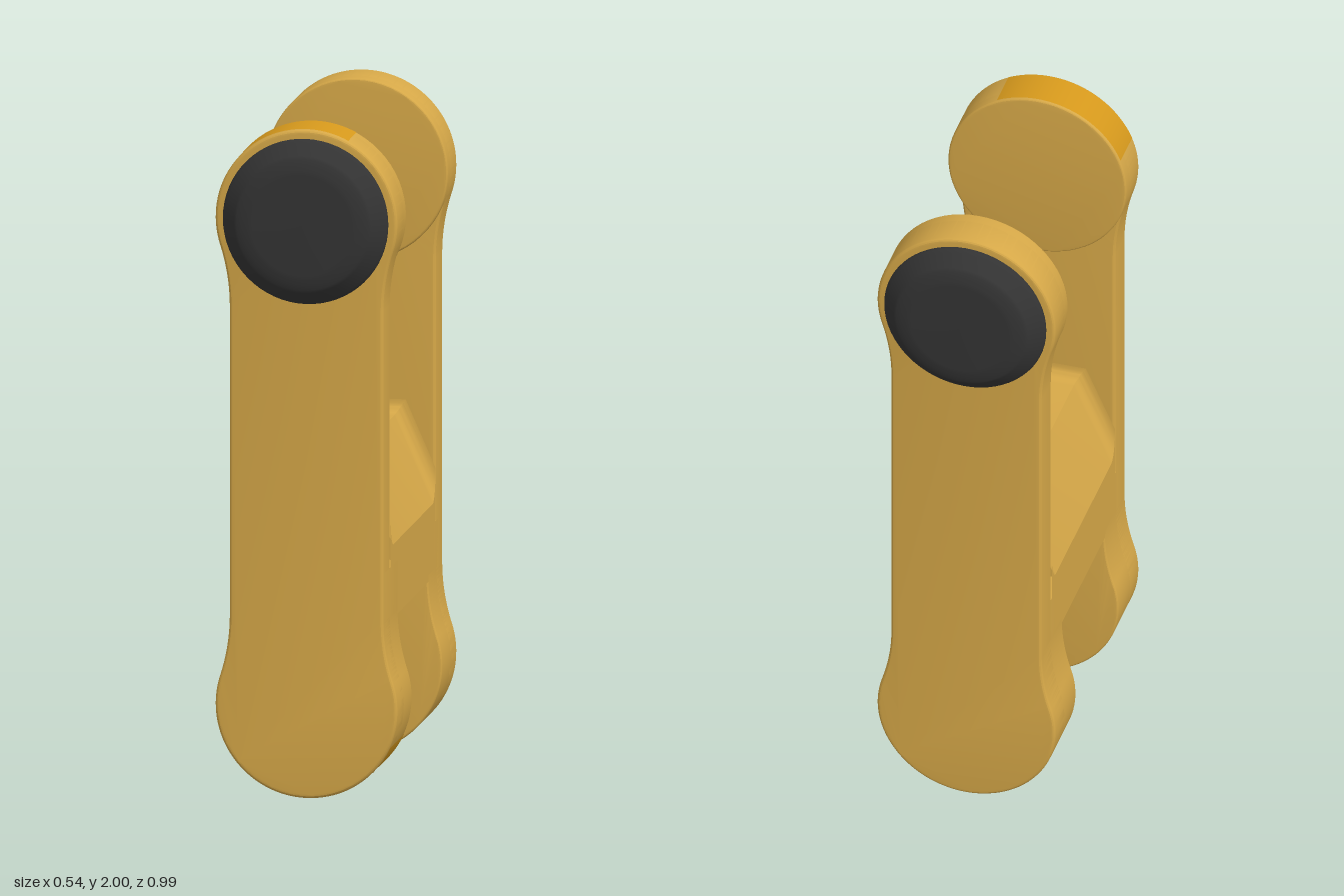
import * as THREE from 'three';
import { toCreasedNormals } from 'three/addons/utils/BufferGeometryUtils.js';

const R = 0.272, TOP = 2 - R, LOW = R;     // round ends of each side arm
const HALF = 0.23, NECK = 0.6;             // arm half width, neck fillet radius
const OUT = 0.43, IN = 0.323;              // outer and inner z of an arm

const material = (name, color) => {
  const m = new THREE.MeshStandardMaterial({ color });
  m.name = name;
  return m;
};

// Extrude a shape between two z values with softly rounded edges
function slab(shape, z0, z1, bevel = 0.012) {
  const g = new THREE.ExtrudeGeometry(shape, {
    depth: z1 - z0 - 2 * bevel, curveSegments: 32,
    bevelThickness: bevel, bevelSize: bevel, bevelOffset: -bevel, bevelSegments: 4,
  });
  g.translate(0, 0, z0 + bevel);
  return toCreasedNormals(g, 0.35);
}

// Neck geometry shared by both round ends
const neckDy = Math.sqrt((R + NECK) ** 2 - (HALF + NECK) ** 2);
const neckAngle = Math.atan2(neckDy, HALF + NECK);

// Arm outline: lower round end, flared necks, and optionally the upper round end
function armShape(full) {
  const s = new THREE.Shape();
  const cx = HALF + NECK;
  s.absarc(0, LOW, R, Math.PI - neckAngle, 2 * Math.PI + neckAngle, false);
  s.absarc(cx, LOW + neckDy, NECK, Math.PI + neckAngle, Math.PI, true);
  if (full) {
    s.absarc(cx, TOP - neckDy, NECK, Math.PI, Math.PI - neckAngle, true);
    s.absarc(0, TOP, R, -neckAngle, Math.PI + neckAngle, false);
    s.absarc(-cx, TOP - neckDy, NECK, neckAngle, 0, true);
  } else {
    s.lineTo(HALF, 0.68);
    s.lineTo(-HALF, 0.68);
  }
  s.absarc(-cx, LOW + neckDy, NECK, 0, -neckAngle, true);
  return s;
}

// Cross bar: arched underside, sloped shoulders, filleted into the arms
function crossBarGeometry() {
  const fillet = 0.04, start = IN - fillet, ends = [];
  for (let i = 0; i <= 6; i++) {
    const t = fillet * Math.sin((i / 6) * Math.PI / 2);
    ends.push([start + t, fillet - Math.sqrt(Math.max(0, fillet * fillet - t * t))]);
  }
  const rings = [...ends.map(([z, d]) => [-z, d]).reverse(), ...ends];
  const profile = (d) => {
    const pts = [], dy = 0.245, r = Math.hypot(HALF, dy), a = Math.atan2(dy, HALF);
    for (let i = 0; i <= 16; i++) {
      const t = Math.PI - a + (2 * a - Math.PI) * (i / 16);
      pts.push([r * Math.cos(t), LOW + 0.003 + r * Math.sin(t)]);
    }
    const y = 0.74 + 2.47 * d, x = 0.115 + 0.652 * d;
    pts.push([HALF, y], [x, 1 + d], [-x, 1 + d], [-HALF, y]);
    return pts;
  };
  const pos = [];
  for (let k = 0; k < rings.length - 1; k++) {
    const [z0, d0] = rings[k], [z1, d1] = rings[k + 1];
    const p = profile(d0), q = profile(d1);
    for (let i = 0; i < p.length; i++) {
      const j = (i + 1) % p.length;
      const a = [...p[i], z0], b = [...p[j], z0], c = [...q[j], z1], e = [...q[i], z1];
      pos.push(...a, ...b, ...c, ...a, ...c, ...e);
    }
  }
  const g = new THREE.BufferGeometry();
  g.setAttribute('position', new THREE.Float32BufferAttribute(pos, 3));
  g.computeVertexNormals();
  return toCreasedNormals(g, 0.4);
}

// Thin curved strip lying on a round end, between two angles
function rimStrip(cy, from, to, z0, z1) {
  const g = new THREE.CylinderGeometry(R + 0.001, R + 0.001, z1 - z0, 32, 1, true,
    from + Math.PI / 2, to - from);
  g.rotateX(Math.PI / 2);
  g.translate(0, cy, (z0 + z1) / 2);
  return g;
}

export function createModel() {
  const ochre = material('ochre', 0xd6a848);
  const amber = material('amber', 0xd6991c);
  const charcoal = material('charcoal', 0x343434);

  const model = new THREE.Group();
  model.name = 'linkBracket';
  const add = (parent, name, geometry, mat) => {
    const mesh = new THREE.Mesh(geometry, mat);
    mesh.name = name;
    parent.add(mesh);
    return mesh;
  };

  const plate = slab(armShape(true), IN, OUT);
  const lowerBoss = slab(armShape(false), 0.215, 0.415, 0.008);
  const upperBoss = slab(new THREE.Shape().absarc(0, TOP, R, 0, Math.PI * 2), 0.295, 0.415, 0.008);

  // Domed pivot cap with a bevelled rim
  const cap = new THREE.LatheGeometry([
    [0.243, 0.42], [0.247, 0.436], [0.245, 0.442], [0.238, 0.449], [0.205, 0.48],
    [0.196, 0.486], [0.18, 0.489], [0.165, 0.493], [0.15, 0.494], [0, 0.497],
  ].map(([x, y]) => new THREE.Vector2(x, y)), 64);
  cap.rotateX(Math.PI / 2);
  cap.translate(0, TOP, 0);

  // Two identical arms, front and back
  for (const [name, turn] of [['frontArm', 0], ['backArm', Math.PI]]) {
    const arm = new THREE.Group();
    arm.name = name;
    arm.rotation.y = turn;
    add(arm, 'armPlate', plate, ochre);
    add(arm, 'lowerBoss', lowerBoss, ochre);
    add(arm, 'upperBoss', upperBoss, ochre);
    add(arm, 'pivotCap', cap, charcoal);
    model.add(arm);
  }

  add(model, 'crossBar', crossBarGeometry(), ochre);

  // Amber rim patches on the front arm only
  const rad = THREE.MathUtils.degToRad;
  add(model, 'upperRimPatch', rimStrip(TOP, rad(63), rad(158), 0.302, 0.42), amber);
  add(model, 'lowerRimPatch', rimStrip(LOW, rad(-117), rad(-24), 0.222, 0.42), amber);

  return model;
}
